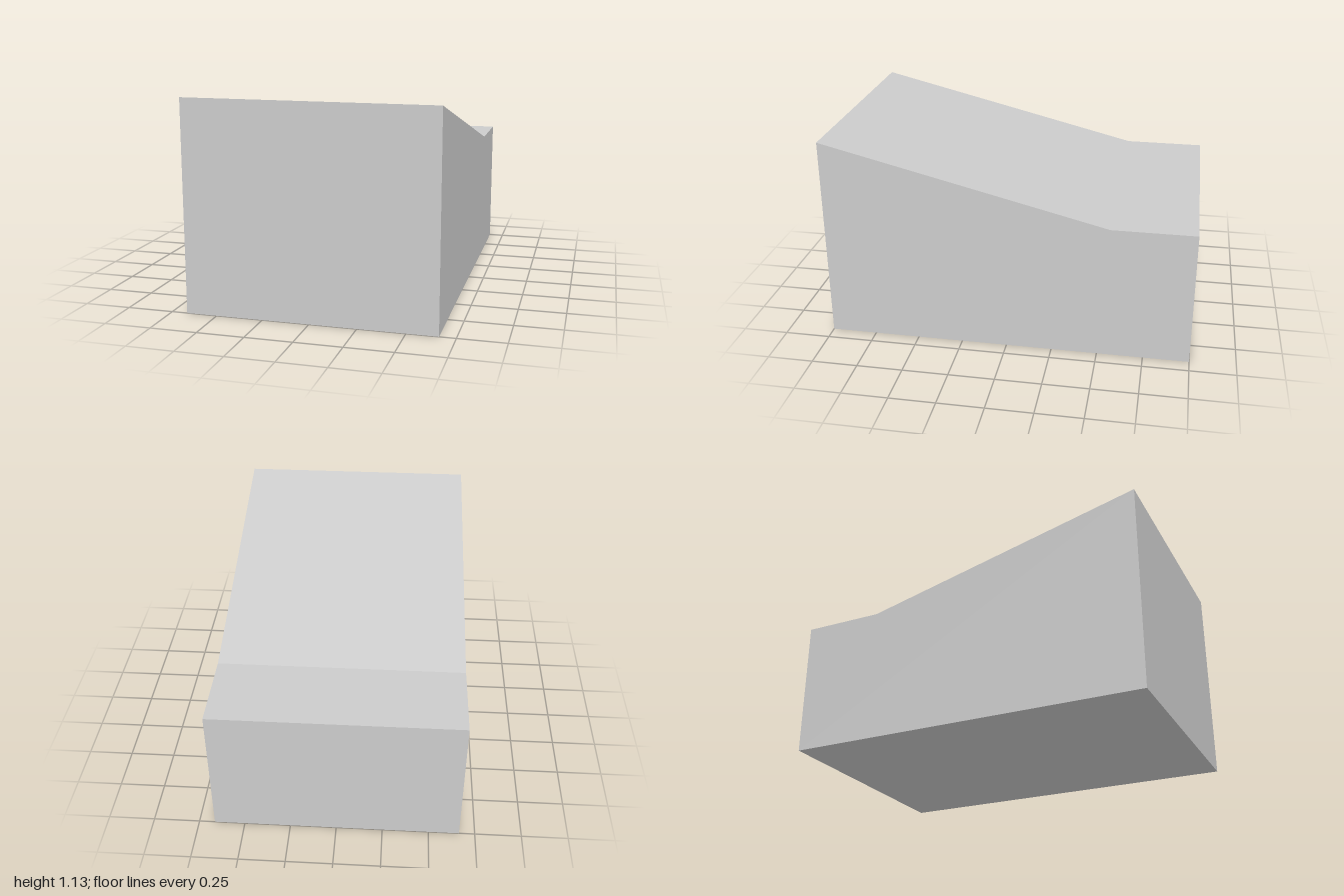
import * as THREE from 'three';

const WIDTH = 1.33;

export function createModel() {
  const group = new THREE.Group();
  group.name = 'slopedBlock';

  // Side profile as (z, y): tall front, sloping down to a flat ledge at the back
  const profile = new THREE.Shape([
    [-1, 0], [1, 0], [1, 1.13], [-0.55, 0.75], [-1, 0.75],
  ].map(([z, y]) => new THREE.Vector2(z, y)));

  // Extruded across the width, then turned so the profile runs along z
  const geometry = new THREE.ExtrudeGeometry(profile, { depth: WIDTH, bevelEnabled: false });
  geometry.translate(0, 0, -WIDTH / 2);
  geometry.rotateY(-Math.PI / 2);

  const body = new THREE.Mesh(
    geometry,
    new THREE.MeshStandardMaterial({ color: 0xcccccc, flatShading: true }),
  );
  body.name = 'wedgeBody';
  group.add(body);
  return group;
}
